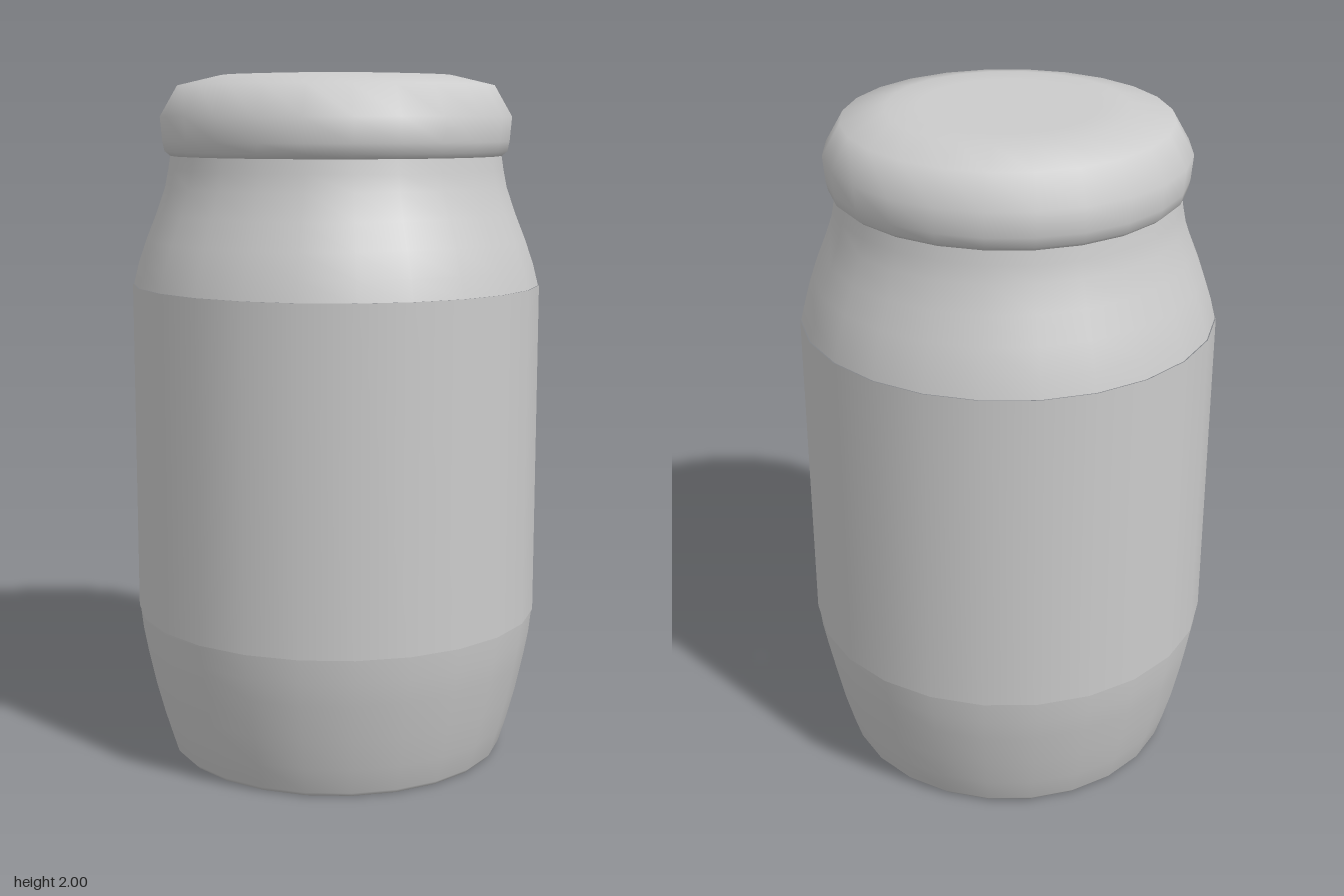
import * as THREE from 'three';

const SIDES = 24;

export function createModel() {
  const jar = new THREE.Group();
  jar.name = 'jar';
  const material = new THREE.MeshStandardMaterial({ color: 0xcccccc });

  // Turned part from [radius, height] pairs, listed bottom to top
  const turn = (name, profile) => {
    const points = profile.map(([r, y]) => new THREE.Vector2(r, y));
    const mesh = new THREE.Mesh(new THREE.LatheGeometry(points, SIDES), material);
    mesh.name = name;
    jar.add(mesh);
  };

  // Flat underside with a small rounded rim, then the tapering base
  turn('base', [
    [0, 0], [0.46, 0], [0.488, 0], [0.499, 0.012], [0.523, 0.09],
    [0.547, 0.18], [0.571, 0.29], [0.584, 0.36], [0.592, 0.43],
  ]);

  // Straight label band around the middle
  turn('label', [[0.592, 0.43], [0.595, 0.43], [0.595, 1.4], [0.592, 1.4]].slice(1, 3));

  // Shoulder narrowing to the neck
  turn('shoulder', [
    [0.592, 1.4], [0.577, 1.46], [0.553, 1.53], [0.523, 1.605],
    [0.497, 1.68], [0.487, 1.73], [0.48, 1.775],
  ]);

  // Soft, rounded lid
  turn('lid', [
    [0.46, 1.768], [0.48, 1.768], [0.497, 1.782], [0.503, 1.81],
    [0.509, 1.88], [0.458, 1.968], [0.335, 1.997], [0.25, 2], [0, 2],
  ]);

  return jar;
}
